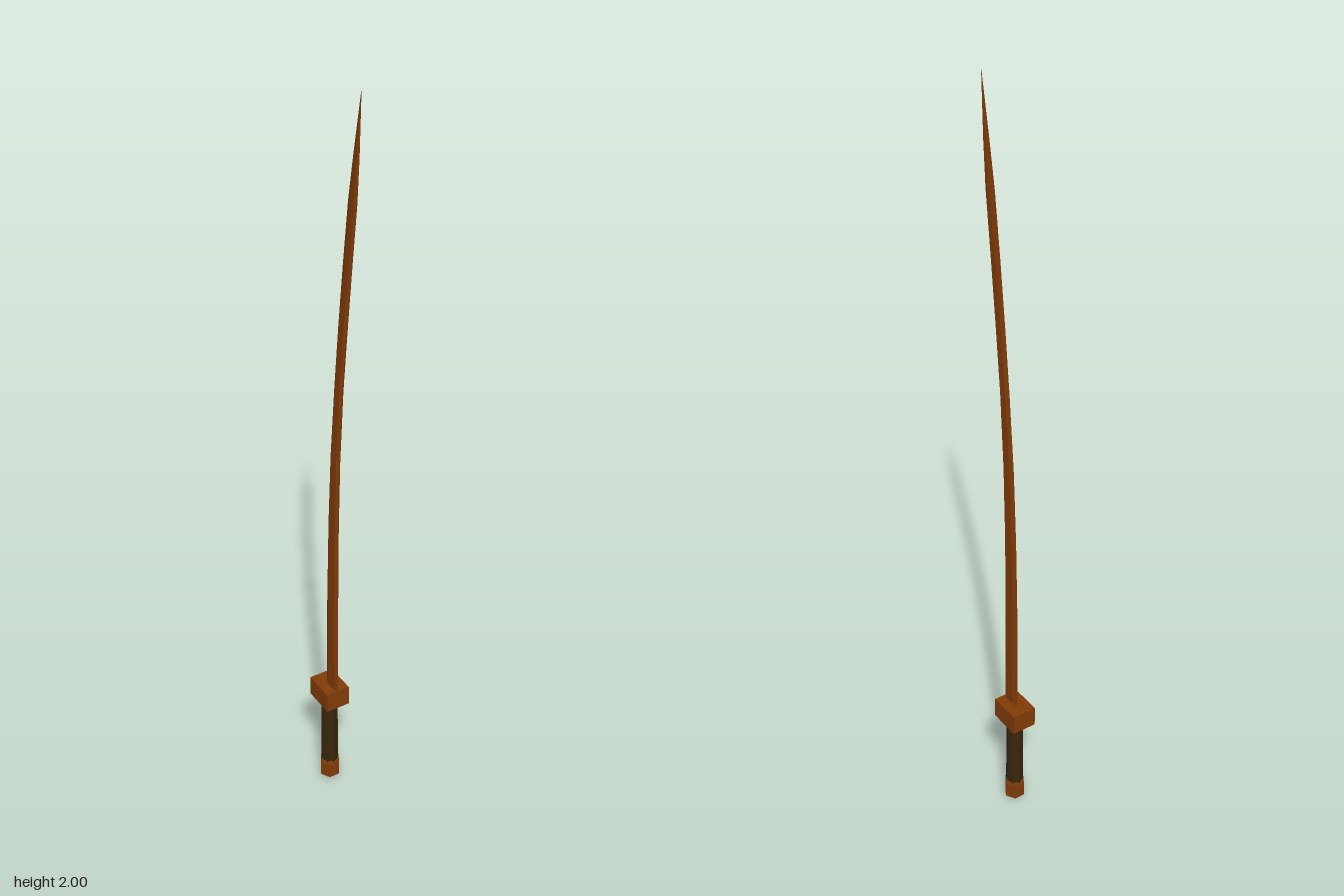
import * as THREE from 'three';

const flat = (name, color) => {
  const m = new THREE.MeshStandardMaterial({ color });
  m.name = name;
  return m;
};

// Blade stations: height, spine z, cutting edge z, half thickness, spine bevel share
const STATIONS = [
  [0.30, -0.059, -0.002, 0.006, 0.25],
  [0.60, -0.056, -0.003, 0.006, 0.25],
  [0.85, -0.048, -0.001, 0.006, 0.25],
  [1.05, -0.037, 0.005, 0.006, 0.26],
  [1.25, -0.019, 0.018, 0.006, 0.28],
  [1.42, -0.001, 0.036, 0.006, 0.3],
  [1.58, 0.018, 0.056, 0.005, 0.35],
  [1.74, 0.039, 0.075, 0.005, 0.45],
  [1.85, 0.059, 0.084, 0.003, 0.5],
  [2.00, 0.089, 0.090, 0.0003, 0.5],
];

// Six-sided section, from the cutting edge round by +x to the spine and back
const section = ([y, back, front, t, share]) => {
  const w = front - back;
  const zf = front - w * 0.17, zb = back + w * share;
  return [[0, y, front], [t, y, zf], [t, y, zb], [0, y, back], [-t, y, zb], [-t, y, zf]];
};

// Skin the blade between successive sections, with hard facets
function bladeGeometry() {
  const pos = [];
  const rings = STATIONS.map(section);
  for (let i = 0; i < rings.length - 1; i++) {
    for (let s = 0; s < 6; s++) {
      const n = (s + 1) % 6;
      const a = rings[i][s], b = rings[i][n], c = rings[i + 1][n], d = rings[i + 1][s];
      pos.push(...a, ...b, ...c, ...a, ...c, ...d);
    }
  }
  const g = new THREE.BufferGeometry();
  g.setAttribute('position', new THREE.Float32BufferAttribute(pos, 3));
  g.computeVertexNormals();
  return g;
}

// Faceted turned part from [radius, y] points
function turned(points, sides) {
  const profile = points.map(([r, y]) => new THREE.Vector2(r, y));
  const g = new THREE.LatheGeometry(profile, sides).rotateY(Math.PI / 2).toNonIndexed();
  g.computeVertexNormals();
  return g;
}

export function createModel() {
  const brown = flat('warm brown', 0x803b08);
  const dark = flat('dark grip', 0x38250c);
  const model = new THREE.Group();
  model.name = 'curvedSword';

  const add = (name, geometry, material, y = 0, z = 0) => {
    const mesh = new THREE.Mesh(geometry, material);
    mesh.name = name;
    mesh.position.set(0, y, z);
    model.add(mesh);
  };

  // Curved blade
  add('blade', bladeGeometry(), brown);

  // Hilt
  const hiltZ = -0.046;
  add('guard', new THREE.BoxGeometry(0.066, 0.056, 0.087), brown, 0.306, hiltZ);
  add('grip', turned([[0.0235, 0.06], [0.0215, 0.285]], 8), dark, 0, hiltZ);
  add('pommel', turned([[0, 0], [0.007, 0], [0.028, 0.02], [0.028, 0.063], [0.025, 0.073], [0, 0.073]], 6), brown, 0, hiltZ);
  return model;
}
